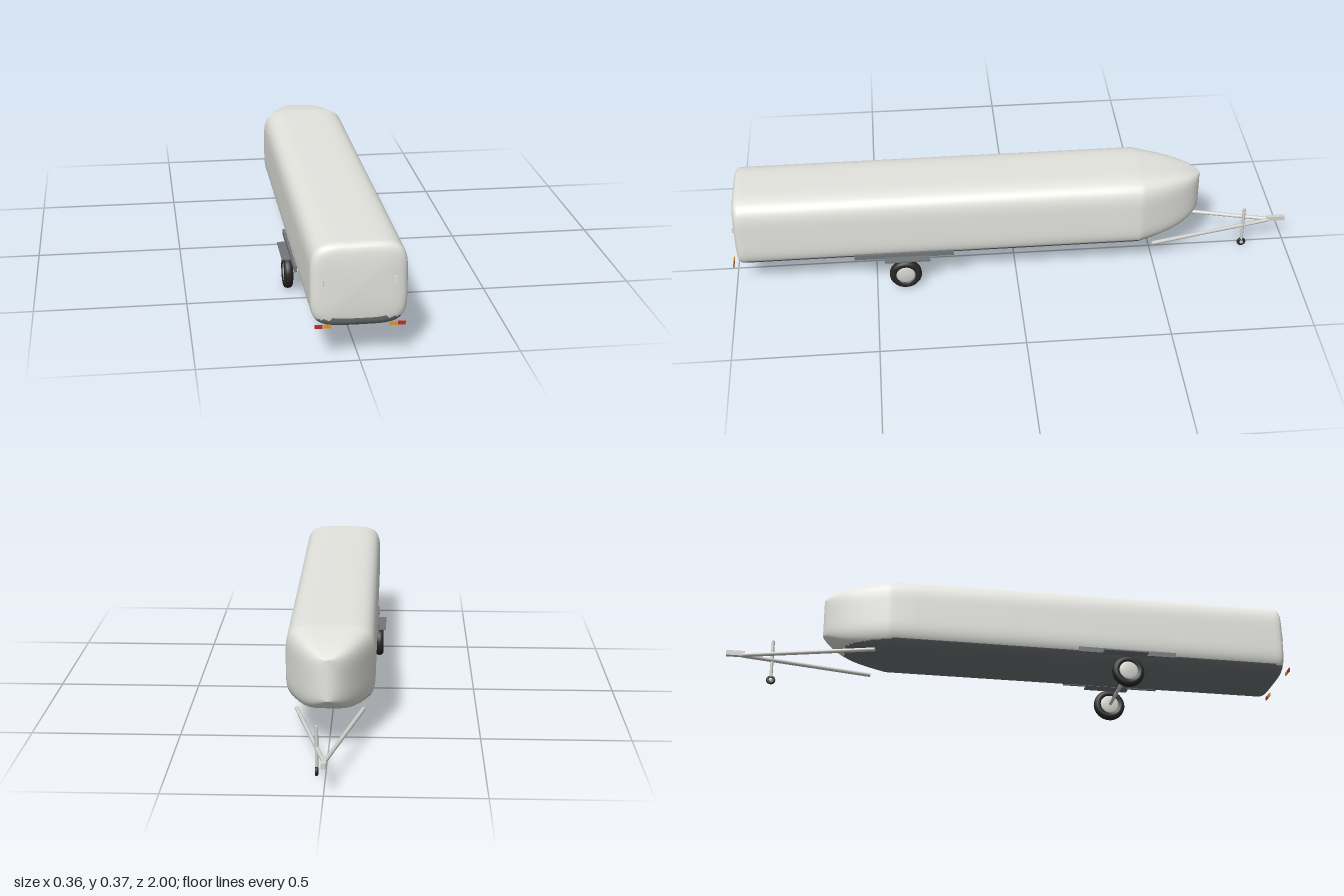
import * as THREE from 'three';

const mat = (name, color) => Object.assign(new THREE.MeshStandardMaterial({ color }), { name });

export function createModel() {
  const model = new THREE.Group();
  model.name = 'trailer';
  const shellMat = mat('shell white', 0xe4e4df);
  const trimMat = mat('trim grey', 0x72777a);
  const metalMat = mat('galvanised metal', 0xd3d3cf);
  const tyreMat = mat('tyre black', 0x262626);
  const amberMat = mat('amber lamp', 0xdc9a2a);
  const redMat = mat('red lamp', 0xc02c2c);

  const add = (name, geo, material, x = 0, y = 0, z = 0, parent = model) => {
    const m = new THREE.Mesh(geo, material);
    m.name = name;
    m.position.set(x, y, z);
    parent.add(m);
    return m;
  };
  const box = (name, material, w, h, d, x, y, z) => add(name, new THREE.BoxGeometry(w, h, d), material, x, y, z);
  const rod = (name, a, b, r) => {
    const from = new THREE.Vector3(...a), to = new THREE.Vector3(...b);
    const dir = to.clone().sub(from);
    const m = add(name, new THREE.CylinderGeometry(r, r, dir.length(), 16), metalMat);
    m.position.copy(from).add(to).multiplyScalar(0.5);
    m.quaternion.setFromUnitVectors(new THREE.Vector3(0, 1, 0), dir.normalize());
  };

  // Stations of the body: [z, half width, bottom, top]
  const stations = [];
  const cap = [[0.992, 0], [0.991, 0.3], [0.989, 0.6], [0.986, 0.78], [0.983, 0.87], [0.979, 0.93], [0.973, 0.975], [0.965, 0.995], [0.95, 1]];
  for (const [z, s] of cap) stations.push([z, 0.15 * s, 0.24 - 0.135 * s, 0.24 + 0.135 * s]);
  for (let i = 1; i <= 8; i++) stations.push([0.95 - i * 0.1625, 0.15, 0.105, 0.375]);
  // Tapered nose with a round tip
  const noseSteps = 24;
  for (let i = 0; i <= noseSteps; i++) {
    const u = i / noseSteps, t = 1 - (1 - u) ** 2;
    stations.push([-0.435 - 0.233 * t, 0.15 * (1 - u),
      0.105 + 0.03 * t + 0.05 * t ** 4, 0.375 - 0.03 * t - 0.02 * t ** 4]);
  }

  // Rounded-square sections lofted along z, low faces use the trim colour
  const sides = 96, power = 2 / 4.5, pos = [];
  const soft = v => Math.sign(v) * Math.pow(Math.abs(v), power);
  for (const [z, hw, bot, top] of stations) {
    for (let i = 0; i < sides; i++) {
      const a = (i / sides) * Math.PI * 2;
      pos.push(hw * soft(Math.cos(a)), (top + bot) / 2 + (top - bot) / 2 * soft(Math.sin(a)), z);
    }
  }
  const upper = [], lower = [];
  for (let s = 0; s < stations.length - 1; s++) {
    for (let i = 0; i < sides; i++) {
      const j = (i + 1) % sides;
      const a = s * sides + i, b = s * sides + j, c = a + sides, d = b + sides;
      const y = (pos[a * 3 + 1] + pos[b * 3 + 1] + pos[c * 3 + 1] + pos[d * 3 + 1]) / 4;
      (y < 0.134 ? lower : upper).push(a, c, b, b, c, d);
    }
  }
  const body = new THREE.BufferGeometry();
  body.setAttribute('position', new THREE.Float32BufferAttribute(pos, 3));
  body.setIndex([...upper, ...lower]);
  body.addGroup(0, upper.length, 0);
  body.addGroup(upper.length, lower.length, 1);
  body.computeVertexNormals();
  add('body', body, [shellMat, trimMat]);

  // Wheel with a rounded tyre and a slightly domed hub, axis along x
  const makeWheel = (name, r, w, hubR) => {
    const wheel = new THREE.Group();
    wheel.name = name;
    const h = w / 2;
    const tyre = [[hubR, -h * 0.75], [hubR * 1.15, -h * 0.95], [r * 0.8, -h], [r * 0.93, -h * 0.8], [r * 0.99, -h * 0.4],
      [r, 0], [r * 0.99, h * 0.4], [r * 0.93, h * 0.8], [r * 0.8, h], [hubR * 1.15, h * 0.95], [hubR, h * 0.75]];
    const hub = [[0, -h * 0.98], [hubR * 0.5, -h * 0.92], [hubR * 0.85, -h * 0.78], [hubR * 1.02, -h * 0.6],
      [hubR * 1.02, h * 0.6], [hubR * 0.85, h * 0.78], [hubR * 0.5, h * 0.92], [0, h * 0.98]];
    const lathe = points => new THREE.LatheGeometry(points.map(p => new THREE.Vector2(...p)), 40);
    add('tyre', lathe(tyre), tyreMat, 0, 0, 0, wheel);
    add('hub', lathe(hub), metalMat, 0, 0, 0, wheel);
    wheel.rotation.z = Math.PI / 2;
    model.add(wheel);
    return wheel;
  };

  rod('axle', [-0.145, 0.059, 0.4], [0.145, 0.059, 0.4], 0.006);

  for (const s of [-1, 1]) {
    const side = s > 0 ? 'left' : 'right';
    makeWheel(side + 'Wheel', 0.057, 0.031, 0.034).position.set(s * 0.155, 0.058, 0.398);

    // Fender plate and its long mounting rail
    box(side + 'Fender', trimMat, 0.04, 0.005, 0.16, s * 0.16, 0.128, 0.39);
    box(side + 'FenderRail', trimMat, 0.009, 0.018, 0.35, s * 0.1475, 0.135, 0.4);

    // Thin lamps and small grab handles on the end panel
    box(side + 'AmberLamp', amberMat, 0.023, 0.012, 0.003, s * 0.1005, 0.118, 0.9985);
    box(side + 'RedLamp', redMat, 0.024, 0.012, 0.003, s * 0.127, 0.118, 0.9985);
    box(side + 'Handle', shellMat, 0.009, 0.023, 0.014, s * 0.107, 0.254, 0.986);

    // Drawbar arm
    rod(side + 'DrawbarArm', [s * 0.111, 0.098, -0.49], [s * 0.003, 0.092, -0.94], 0.007);
  }

  // Coupling and jockey wheel
  box('coupling', metalMat, 0.015, 0.018, 0.065, 0, 0.097, -0.9675);
  rod('jockeyPost', [0.028, 0.028, -0.84], [0.028, 0.168, -0.84], 0.0055);
  makeWheel('jockeyWheel', 0.016, 0.01, 0.007).position.set(0.028, 0.018, -0.84);

  return model;
}
